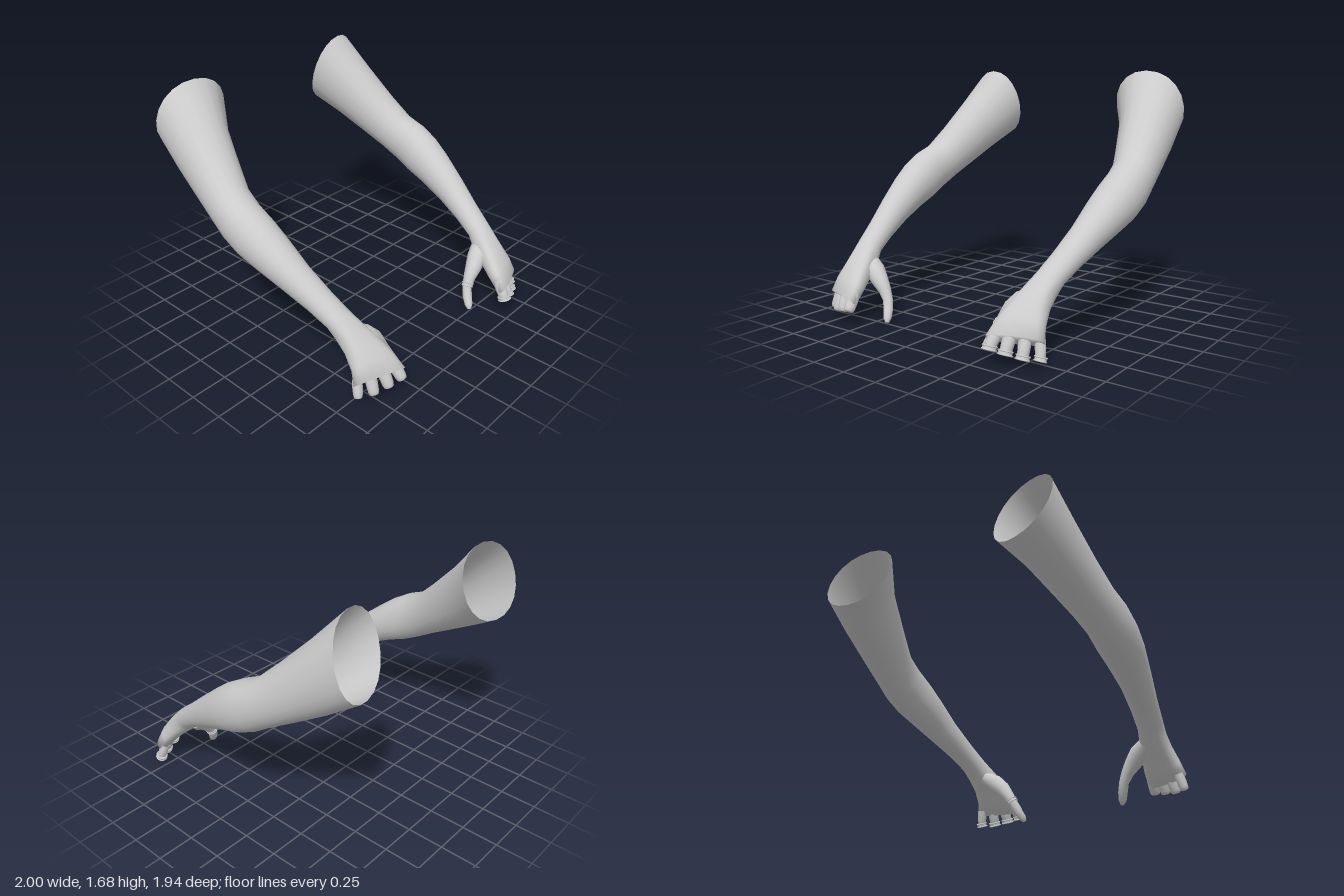
import * as THREE from 'three';

const V = (x, y, z) => new THREE.Vector3(x, y, z);
const skin = new THREE.MeshStandardMaterial({ color: 0xcccccc, side: THREE.DoubleSide });

// Smooth skin over a list of equal-sized point loops; side = -1 mirrors it in x.
function loft(loops, side, capEnd) {
  const n = loops[0].length, pos = [], idx = [];
  const tri = (a, b, c) => (side > 0 ? idx.push(a, b, c) : idx.push(a, c, b));
  loops.forEach(loop => loop.forEach(p => pos.push(p.x * side, p.y, p.z)));
  for (let i = 0; i < loops.length - 1; i++) {
    for (let j = 0; j < n; j++) {
      const a = i * n + j, b = i * n + (j + 1) % n;
      tri(a, b, b + n);
      tri(a, b + n, a + n);
    }
  }
  if (capEnd) {
    const last = loops[loops.length - 1], base = (loops.length - 1) * n;
    const c = last.reduce((s, p) => s.add(p), V(0, 0, 0)).divideScalar(n);
    pos.push(c.x * side, c.y, c.z);
    for (let j = 0; j < n; j++) tri(loops.length * n, base + j, base + (j + 1) % n);
  }
  const g = new THREE.BufferGeometry();
  g.setAttribute('position', new THREE.Float32BufferAttribute(pos, 3));
  g.setIndex(idx);
  g.computeVertexNormals();
  return g;
}

// Arm sections: top z, top y, bottom z, bottom y, inner x, outer x, z shift per x
const SECTIONS = [
  [-0.80, 1.68, -0.955, 1.17, 0.44, 0.925, -0.2],
  [-0.60, 1.455, -0.77, 1.05, 0.56, 0.945, -0.14],
  [-0.40, 1.255, -0.57, 0.935, 0.635, 0.965, -0.08],
  [-0.25, 1.115, -0.40, 0.84, 0.69, 0.985, 0],
  [-0.12, 1.06, -0.28, 0.765, 0.715, 1.0, 0],
  [0.0, 0.99, -0.15, 0.70, 0.71, 1.0, 0],
  [0.12, 0.90, 0.0, 0.645, 0.71, 0.978, 0],
  [0.30, 0.755, 0.17, 0.57, 0.712, 0.93, 0],
  [0.47, 0.615, 0.36, 0.48, 0.69, 0.88, 0],
  [0.60, 0.515, 0.50, 0.40, 0.665, 0.848, 0],
  [0.67, 0.45, 0.565, 0.335, 0.64, 0.832, 0],
  [0.75, 0.375, 0.645, 0.27, 0.605, 0.835, -0.1],
  [0.83, 0.285, 0.735, 0.195, 0.57, 0.855, -0.2],
  [0.89, 0.19, 0.81, 0.115, 0.55, 0.88, -0.35],
];

function armLoops() {
  const n = 20;
  return SECTIONS.map(([tz, ty, bz, by, xi, xo, skew], i) => {
    // The hand is squarer across than the arm
    const e = i > 9 ? 0.75 : 0.95;
    const round = v => Math.sign(v) * Math.pow(Math.abs(v), e);
    return Array.from({ length: n }, (_, j) => {
      const t = (j / n) * Math.PI * 2;
      const dx = round(Math.cos(t)) * (xo - xi) / 2, s = round(Math.sin(t)) / 2;
      return V((xi + xo) / 2 + dx, (ty + by) / 2 + s * (ty - by), (tz + bz) / 2 + s * (tz - bz) + skew * dx);
    });
  });
}

// Round loops along a path of [x, y, z, radius]
function tubeLoops(path, n = 14) {
  const pts = path.map(p => V(p[0], p[1], p[2]));
  return pts.map((p, i) => {
    const d = pts[Math.min(i + 1, pts.length - 1)].clone().sub(pts[Math.max(i - 1, 0)]).normalize();
    const u = V(0, 0, 1).addScaledVector(d, -d.z).normalize();
    const w = d.clone().cross(u);
    return Array.from({ length: n }, (_, j) => {
      const t = (j / n) * Math.PI * 2;
      return p.clone().addScaledVector(u, Math.cos(t) * path[i][3]).addScaledVector(w, Math.sin(t) * path[i][3]);
    });
  });
}

// Finger stubs: base, tip, radius
const FINGERS = [
  ['indexFinger', V(0.60, 0.21, 0.85), V(0.585, 0.095, 0.925), 0.04],
  ['middleFinger', V(0.68, 0.19, 0.84), V(0.677, 0.075, 0.895), 0.04],
  ['ringFinger', V(0.76, 0.17, 0.81), V(0.772, 0.055, 0.855), 0.038],
  ['littleFinger', V(0.835, 0.16, 0.77), V(0.858, 0.05, 0.80), 0.033],
];
const THUMB = [
  [0.69, 0.36, 0.60, 0.05], [0.62, 0.315, 0.64, 0.068], [0.555, 0.26, 0.66, 0.058],
  [0.505, 0.20, 0.665, 0.043], [0.468, 0.14, 0.675, 0.034], [0.443, 0.08, 0.70, 0.033],
  [0.422, 0.035, 0.73, 0.028], [0.41, 0.01, 0.745, 0.013],
];

// Band with two raised lips around a finger
function ringBand(name, centre, dir, r) {
  const g = new THREE.Group();
  g.name = name;
  const band = new THREE.Mesh(new THREE.CylinderGeometry(r, r, 0.026, 20), skin);
  band.name = name + 'Band';
  g.add(band);
  for (const y of [-0.011, 0.011]) {
    const lip = new THREE.Mesh(new THREE.TorusGeometry(r, 0.005, 8, 20).rotateX(Math.PI / 2), skin);
    lip.name = name + 'Lip';
    lip.position.y = y;
    g.add(lip);
  }
  g.position.copy(centre);
  g.quaternion.setFromUnitVectors(V(0, 1, 0), dir.clone().normalize());
  return g;
}

function makeArm(side) {
  const arm = new THREE.Group();
  arm.name = side > 0 ? 'leftArm' : 'rightArm';
  const add = (name, geometry) => {
    const m = new THREE.Mesh(geometry, skin);
    m.name = name;
    arm.add(m);
  };
  add('armAndPalm', loft(armLoops(), side, true));
  add('thumb', loft(tubeLoops(THUMB), side, true));
  for (const [name, a, b, r] of FINGERS) {
    // Stub narrows a little and rounds off at the tip
    const path = [[0, 1], [0.45, 1], [0.8, 0.92], [0.96, 0.8], [1, 0.5]].map(([t, k]) => {
      const p = a.clone().lerp(b, t);
      return [p.x, p.y, p.z, r * k];
    });
    add(name, loft(tubeLoops(path), side, true));
  }
  return arm;
}

export function createModel() {
  const model = new THREE.Group();
  model.name = 'pairOfArms';
  const left = makeArm(1);
  model.add(left, makeArm(-1));
  // Rings are worn on the left hand only
  for (const [name, a, b, r] of FINGERS) {
    left.add(ringBand(name + 'Ring', a.clone().lerp(b, 0.95), V(0, -0.92, 0.38), r + 0.003));
  }
  left.add(ringBand('thumbRing', V(0.478, 0.158, 0.672), V(-0.5, -0.85, 0.15), 0.039));
  return model;
}
